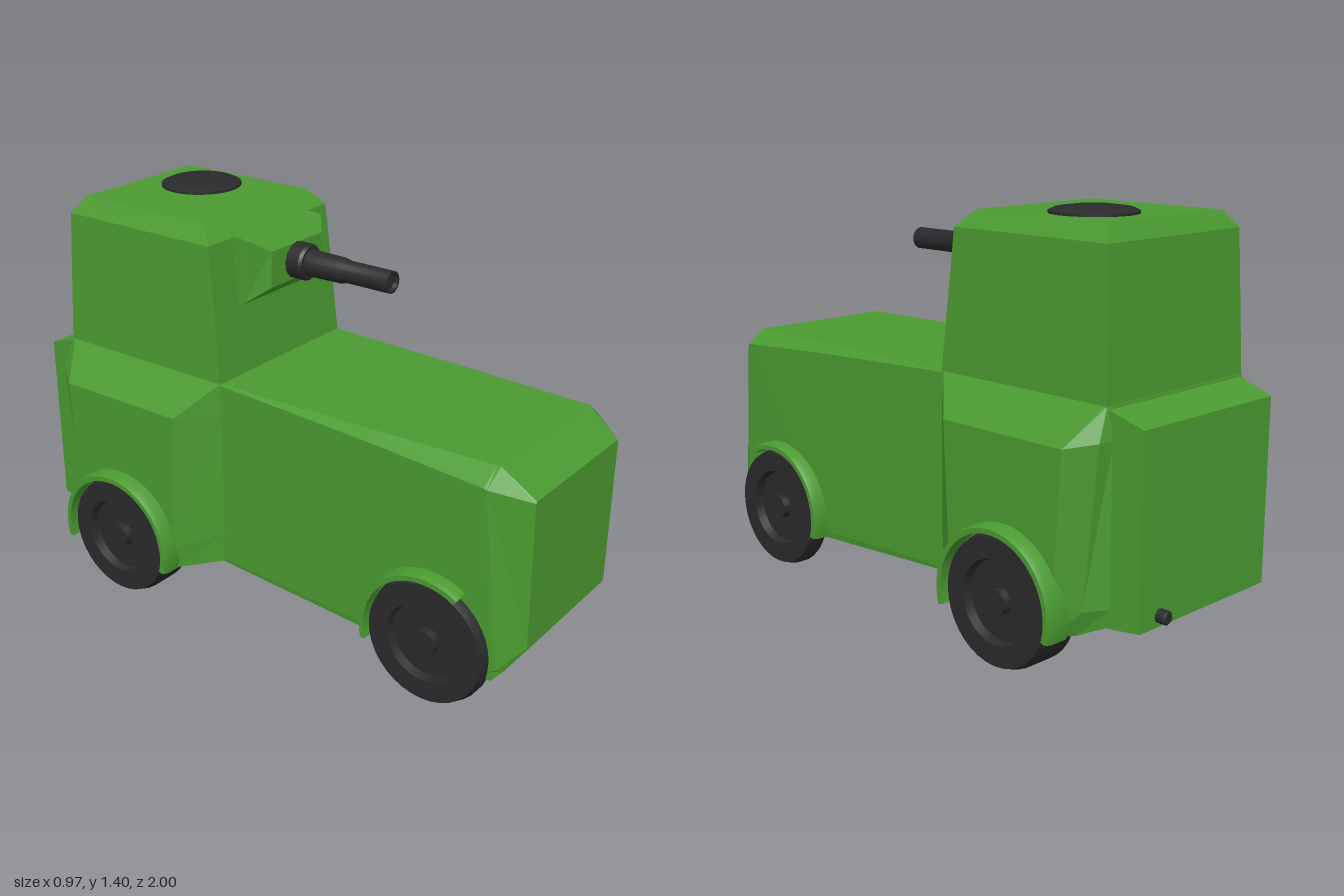
import * as THREE from 'three';
import { toCreasedNormals } from 'three/addons/utils/BufferGeometryUtils.js';

const green = new THREE.MeshStandardMaterial({ color: 0x4a9a30, flatShading: true });
const greenSheet = new THREE.MeshStandardMaterial({ color: 0x4a9a30, side: THREE.DoubleSide });
const dark = new THREE.MeshStandardMaterial({ color: 0x2a2a2c });

// Completes a half outline (x > 0) with its mirror image
const mirror = half => [...half, ...half.slice().reverse().map(([x, y, z]) => [-x, y, z])];

// Skins a row of half outlines into a closed, faceted solid
function loft(halves) {
  const rings = halves.map(mirror), n = rings[0].length;
  const tris = [];
  for (let i = 0; i < rings.length - 1; i++) {
    for (let j = 0; j < n; j++) {
      const k = (j + 1) % n;
      const a = rings[i][j], b = rings[i][k], c = rings[i + 1][k], d = rings[i + 1][j];
      tris.push([a, b, c], [a, c, d]);
    }
  }
  const last = rings[rings.length - 1];
  for (let j = 1; j < n - 1; j++) {
    tris.push([rings[0][0], rings[0][j + 1], rings[0][j]], [last[0], last[j], last[j + 1]]);
  }
  // a negative enclosed volume means the faces point inwards
  const v = p => new THREE.Vector3(...p);
  const volume = tris.reduce((s, [a, b, c]) => s + v(a).dot(v(b).cross(v(c))), 0);
  const points = tris.flatMap(t => (volume < 0 ? [t[0], t[2], t[1]] : t)).flat();
  const geo = new THREE.BufferGeometry();
  geo.setAttribute('position', new THREE.Float32BufferAttribute(points, 3));
  geo.computeVertexNormals();
  return geo;
}

// Turned part from [radius, height] pairs
function turned(profile, segments = 32, start = 0, length = Math.PI * 2) {
  const pts = profile.map(([r, h]) => new THREE.Vector2(r, h));
  return toCreasedNormals(new THREE.LatheGeometry(pts, segments, start, length), 0.5);
}

export function createModel() {
  const model = new THREE.Group();
  model.name = 'armouredCar';
  const add = (name, geo, mat) => {
    const mesh = new THREE.Mesh(geo, mat);
    mesh.name = name;
    model.add(mesh);
    return mesh;
  };

  // Long bonnet with a chamfered nose
  add('bonnet', loft([
    [[0.26, 0.77, 1], [0.265, 0.765, 1], [0.255, 0.262, 1], [0.25, 0.255, 1]],
    [[0.275, 0.855, 0.885], [0.345, 0.805, 0.88], [0.335, 0.2, 0.94], [0.305, 0.19, 0.955]],
    [[0.275, 0.855, 0.87], [0.346, 0.808, 0.87], [0.337, 0.19, 0.925], [0.333, 0.155, 0.925]],
    [[0.298, 0.857, 0.45], [0.337, 0.832, 0.45], [0.334, 0.18, 0.45], [0.33, 0.155, 0.45]],
    [[0.322, 0.86, -0.2], [0.325, 0.858, -0.2], [0.325, 0.2, -0.2], [0.323, 0.19, -0.2]],
  ]), green);

  // Rear hull with flared sides
  add('rearHull', loft([
    [[0.32, 0.19, -0.15], [0.42, 0.155, -0.3], [0.42, 0.155, -0.73], [0.36, 0.155, -0.77], [0.31, 0.19, -0.85]],
    [[0.325, 0.3, -0.15], [0.43, 0.24, -0.295], [0.43, 0.24, -0.735], [0.37, 0.24, -0.8], [0.315, 0.25, -0.86]],
    [[0.325, 0.74, -0.15], [0.43, 0.74, -0.27], [0.43, 0.74, -0.765], [0.365, 0.76, -0.85], [0.315, 0.76, -0.86]],
    [[0.325, 0.86, -0.15], [0.325, 0.86, -0.16], [0.325, 0.86, -0.83], [0.323, 0.86, -0.84], [0.315, 0.86, -0.842]],
  ]), green);

  // Box at the tail
  add('tailBox', loft([
    [[0.318, 0.86, -0.8], [0.318, 0.19, -0.8]],
    [[0.318, 0.85, -0.845], [0.316, 0.19, -0.86]],
    [[0.308, 0.81, -0.965], [0.305, 0.2, -0.965]],
  ]), green);

  // Tapered turret with a chamfered roof
  add('turret', loft([
    [[0.325, 0.855, -0.15], [0.325, 0.855, -0.84]],
    [[0.31, 1.32, -0.195], [0.31, 1.32, -0.82]],
    [[0.265, 1.375, -0.25], [0.265, 1.375, -0.785]],
  ]), green);

  // Gun mount on the turret face
  add('gunMount', loft([
    [[0.195, 1.325, -0.23], [0.195, 1.1, -0.23]],
    [[0.195, 1.325, -0.165], [0.195, 1.1, -0.155]],
    [[0.192, 1.32, -0.125], [0.192, 1.105, -0.15]],
    [[0.135, 1.28, -0.08], [0.135, 1.157, -0.08]],
  ]), green);

  // Stepped gun barrel
  const gun = add('gunBarrel', turned([
    [0, -0.1], [0.062, -0.1], [0.062, -0.03], [0.055, -0.02], [0.045, -0.02],
    [0.043, 0.11], [0.037, 0.135], [0.037, 0.305], [0.03, 0.305], [0.028, 0.29], [0, 0.29],
  ], 20).rotateX(Math.PI / 2), dark);
  gun.position.y = 1.22;

  // Roof hatch
  const hatch = add('roofHatch', turned([
    [0, 1.37], [0.14, 1.37], [0.14, 1.383], [0.12, 1.392], [0.06, 1.4], [0, 1.4],
  ], 36), dark);
  hatch.position.set(0.09, 0, -0.575);

  // Exhaust stub
  const exhaust = add('exhaust', turned([
    [0, 0.95], [0.022, 0.95], [0.022, 0.995], [0.016, 1], [0, 1],
  ], 12).rotateX(-Math.PI / 2), dark);
  exhaust.position.set(0.215, 0.235, 0);

  // Wheels and arched mudguards
  const axles = [
    { name: 'front', z: 0.7, inner: 0.305, outer: 0.372, guard: [0.32, 0.385], arc: [Math.PI - 0.27, Math.PI * 2 / 3 + 0.27] },
    { name: 'rear', z: -0.53, inner: 0.325, outer: 0.465, guard: [0.4, 0.485], arc: [Math.PI - 0.27, Math.PI + 0.54] },
  ];
  for (const { name, z, inner, outer, guard: [g0, g1], arc: [start, length] } of axles) {
    for (const side of [1, -1]) {
      const label = name + (side > 0 ? 'Left' : 'Right');
      const turn = -side * Math.PI / 2;
      const wheel = add(label + 'Wheel', turned([
        [0, inner], [0.21, inner], [0.216, inner + 0.01], [0.216, outer - 0.03], [0.206, outer],
        [0.137, outer], [0.13, outer - 0.03], [0.042, outer - 0.03], [0.038, outer - 0.005], [0, outer - 0.005],
      ], 36).rotateZ(turn), dark);
      const from = side > 0 ? start : Math.PI * 2 - start - length;
      const guard = add(label + 'Mudguard', turned([
        [0.22, g0], [0.245, g0], [0.245, g1 - 0.02], [0.237, g1], [0.22, g1], [0.22, g0],
      ], 24, from, length).rotateZ(turn), greenSheet);
      wheel.position.set(0, 0.22, z);
      guard.position.set(0, 0.22, z);
    }
  }
  return model;
}
